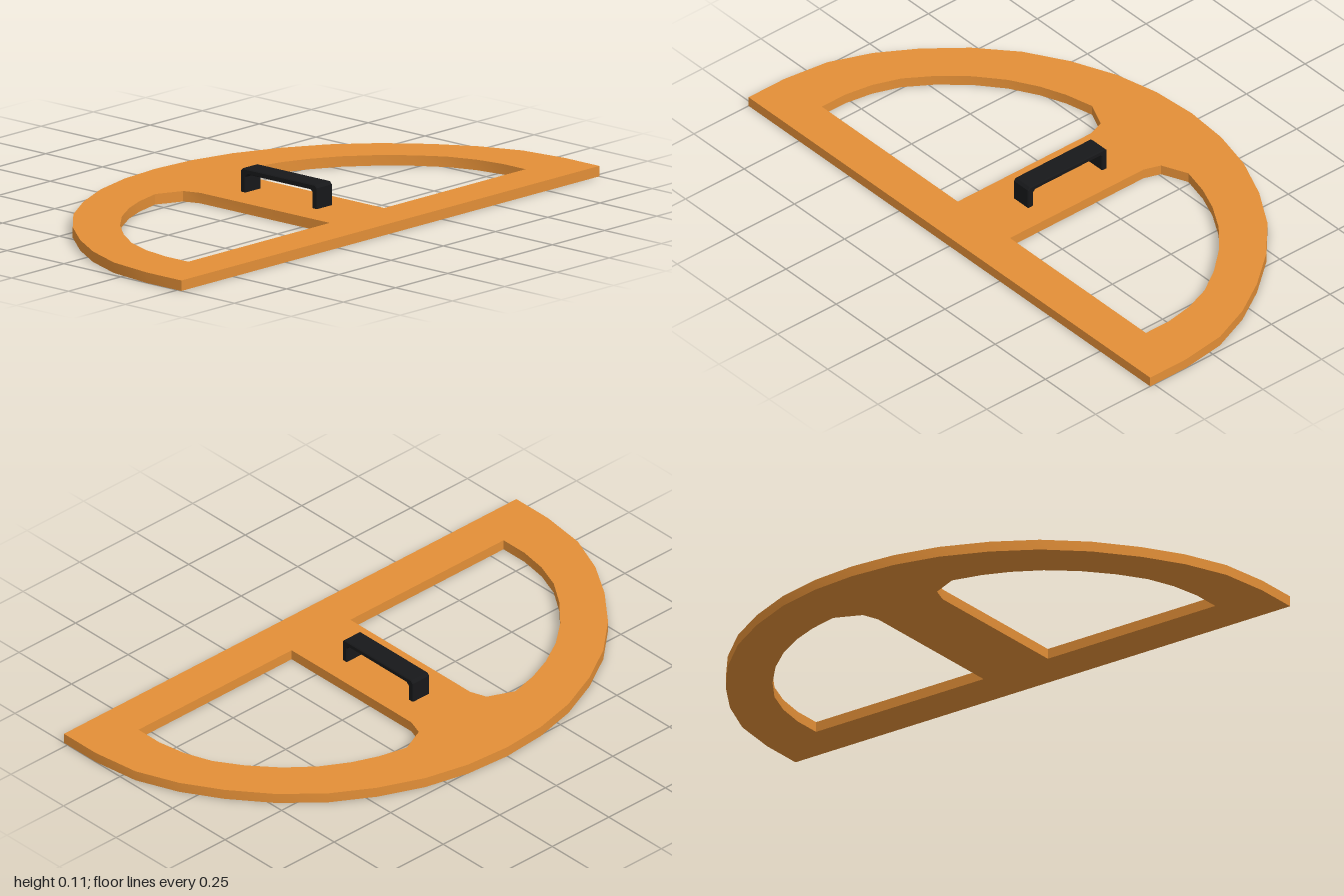
import * as THREE from 'three';
import { toCreasedNormals } from 'three/addons/utils/BufferGeometryUtils.js';

const wood = new THREE.MeshStandardMaterial({ color: 0xe38f37 });
wood.name = 'orange wood';
const black = new THREE.MeshStandardMaterial({ color: 0x17181a });
black.name = 'black handle';

const points = (list, sx = 1) => list.map(([x, z]) => new THREE.Vector2(x * sx, -z));

// Right half of the outer rim, as [x, z] from the apex to the straight edge
const rim = [[0.16, -0.505], [0.316, -0.468], [0.47, -0.402], [0.61, -0.317], [0.735, -0.205],
  [0.84, -0.075], [0.92, 0.055], [0.978, 0.2], [1, 0.365], [1, 0.517]];

// Right window, as [x, z]
const opening = [[0.13, 0.37], [0.13, -0.2], [0.15, -0.257], [0.24, -0.297], [0.34, -0.273],
  [0.43, -0.237], [0.525, -0.182], [0.615, -0.107], [0.695, -0.016], [0.755, 0.075],
  [0.79, 0.17], [0.807, 0.27], [0.807, 0.37]];

// Flat half-round plate with two mirrored windows
function createPlate() {
  // Counter-clockwise outline, so that the walls of both windows face inwards
  const shape = new THREE.Shape([
    new THREE.Vector2(0, 0.517), ...points(rim, -1), ...points(rim).reverse(),
  ]);
  for (const side of [1, -1]) shape.holes.push(new THREE.Path(points(opening, side)));
  const geometry = new THREE.ExtrudeGeometry(shape, { depth: 0.035, bevelEnabled: false });
  geometry.rotateX(-Math.PI / 2);
  const mesh = new THREE.Mesh(toCreasedNormals(geometry, 0.5), wood);
  mesh.name = 'protractorPlate';
  return mesh;
}

// Bridge-shaped grip with chamfered corners, profile in z and y
function createHandle() {
  const back = -0.117, front = 0.22, top = 0.114, foot = 0.03;
  const leg = 0.022, bar = 0.018, cut = 0.009, bevel = 0.003;
  const profile = [
    [back, foot], [back + leg, foot], [back + leg, top - bar - cut], [back + leg + cut, top - bar],
    [front - leg - cut, top - bar], [front - leg, top - bar - cut], [front - leg, foot], [front, foot],
    [front, top - cut], [front - cut, top], [back + cut, top], [back, top - cut],
  ];
  const shape = new THREE.Shape(profile.map(([z, y]) => new THREE.Vector2(z, y)));
  const geometry = new THREE.ExtrudeGeometry(shape, {
    depth: 0.074 - 2 * bevel, bevelThickness: bevel, bevelSize: bevel, bevelOffset: -bevel, bevelSegments: 1,
  });
  geometry.rotateY(-Math.PI / 2);
  geometry.translate(0.046 - bevel, 0, 0);
  const mesh = new THREE.Mesh(geometry, black);
  mesh.name = 'handle';
  return mesh;
}

export function createModel() {
  const model = new THREE.Group();
  model.name = 'boardProtractor';
  model.add(createPlate(), createHandle());
  return model;
}
